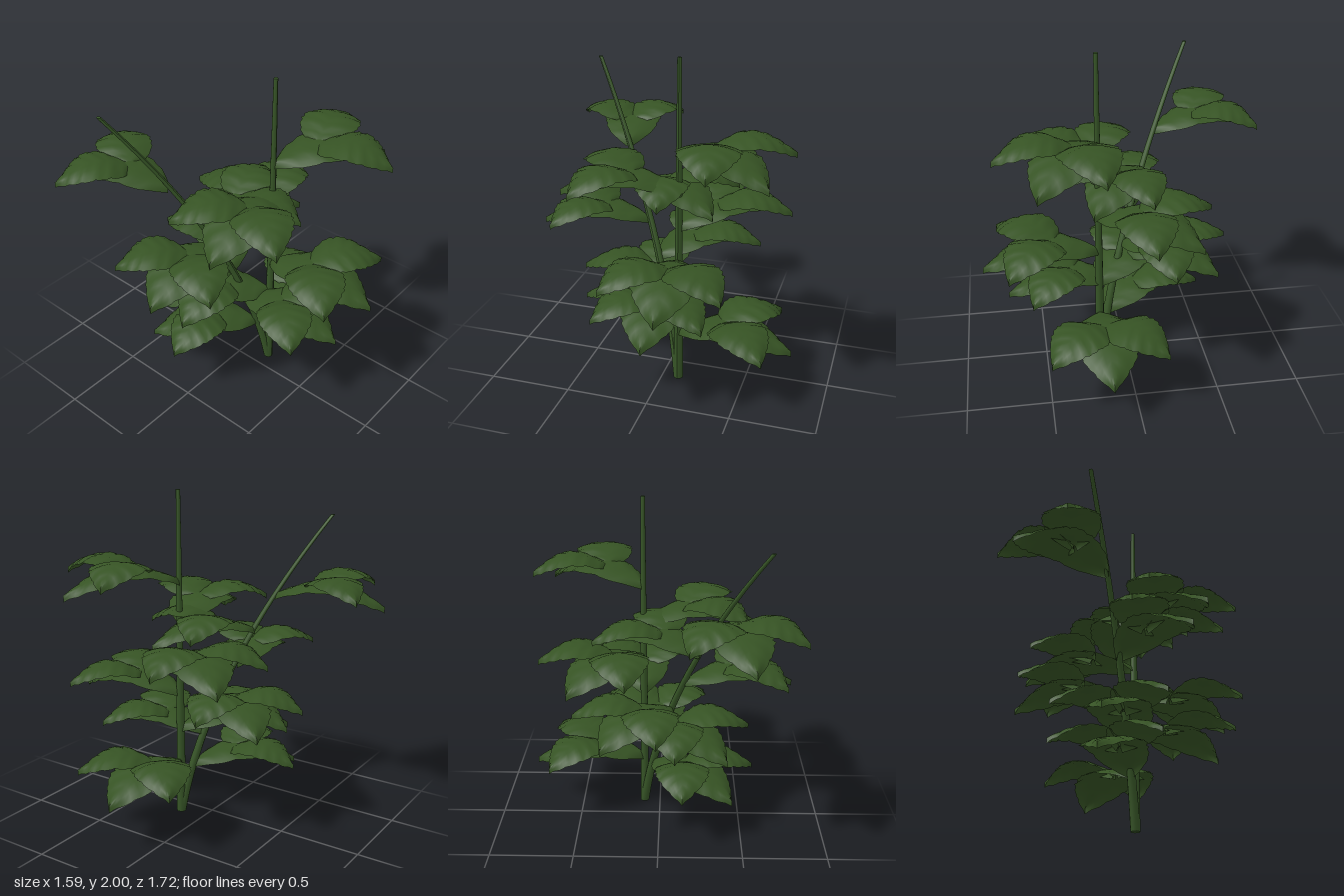
import * as THREE from 'three';

const leafGreen = new THREE.MeshStandardMaterial({ color: 0x365324, side: THREE.DoubleSide });
leafGreen.name = 'leafGreen';
const stemGreen = new THREE.MeshStandardMaterial({ color: 0x365426 });
stemGreen.name = 'stemGreen';

// Centre line of each stem at height y
const uprightPath = () => [0.1, 0.165];
const leaningPath = (y) => [0.1 - 0.135 * y - 0.135 * y * y, 0.165 - 0.133 * y - 0.117 * y * y];

// Leaflet kinds: length, half widths along the length, midrib height, and droop of the edges
const middleLeaflet = {
  length: 0.69,
  widths: [0.015, 0.1, 0.148, 0.17, 0.183, 0.19, 0.178, 0.14, 0.08, 0],
  rise: (u) => 0.11 * Math.sin(Math.PI * u) - 0.04 * u,
  droop: 0.04,
};
const sideLeaflet = {
  length: 0.458,
  widths: [0.02, 0.11, 0.15, 0.168, 0.172, 0.165, 0.146, 0.108, 0.06, 0],
  rise: (u) => 0.075 + 0.085 * Math.sin(Math.PI * u) - 0.02 * u,
  droop: 0.035,
};

const VEINS = 6; // pairs of side veins, pressed in as creases
const STEPS = 4; // rows between neighbouring veins

function halfWidth(kind, u) {
  const s = u * (kind.widths.length - 1);
  const i = Math.min(Math.floor(s), kind.widths.length - 2);
  return THREE.MathUtils.lerp(kind.widths[i], kind.widths[i + 1], s - i);
}

// Blade: rows slant forward along the veins and puff up between them
function bladeGeometry(kind) {
  const rowCount = VEINS * STEPS;
  const positions = [];
  const index = [];
  for (let i = 0; i <= rowCount; i++) {
    const base = i / rowCount;
    const puff = 0.007 * Math.sin((Math.PI * (i % STEPS)) / STEPS);
    const tooth = i % 2 ? 1.025 : 0.965;
    for (let j = -4; j <= 4; j++) {
      const v = j / 4;
      const a = Math.abs(v);
      const u = base + 0.5 * a * base * (1 - base);
      const w = halfWidth(kind, u) * v * (a === 1 ? tooth : 1);
      const y = kind.rise(u) - kind.droop * v * v + puff * Math.sin(Math.PI * Math.min(a, 0.6) / 1.2);
      positions.push(kind.length * u, y, w);
    }
  }
  for (let i = 0; i < rowCount; i++) {
    for (let j = 0; j < 8; j++) {
      const a = i * 9 + j, b = a + 1, c = a + 9, d = c + 1;
      // mirror the diagonals about the midrib
      if (j < 4) index.push(a, b, c, b, d, c);
      else index.push(a, b, d, a, d, c);
    }
  }
  const geometry = new THREE.BufferGeometry();
  geometry.setAttribute('position', new THREE.Float32BufferAttribute(positions, 3));
  geometry.setIndex(index);
  geometry.computeVertexNormals();
  return geometry;
}

// Tapered stem sheared along its path
function makeStem(name, path, height) {
  const geometry = new THREE.CylinderGeometry(0.0125, 0.029, height, 10, 16);
  geometry.translate(0, height / 2, 0);
  const p = geometry.attributes.position;
  for (let i = 0; i < p.count; i++) {
    const [x, z] = path(p.getY(i));
    p.setXYZ(i, p.getX(i) + x, p.getY(i), p.getZ(i) + z);
  }
  geometry.computeVertexNormals();
  const stem = new THREE.Mesh(geometry, stemGreen);
  stem.name = name;
  return stem;
}

export function createModel() {
  const model = new THREE.Group();
  model.name = 'leafyPlant';
  const middleBlade = bladeGeometry(middleLeaflet);
  const sideBlade = bladeGeometry(sideLeaflet);

  const stems = [
    { name: 'uprightStem', path: uprightPath, height: 2, first: 0.345, step: 0.228, yaw: 0, size: 1 },
    { name: 'leaningStem', path: leaningPath, height: 1.83, first: 0.33, step: 0.208, yaw: 223, size: 0.95 },
  ];
  for (const s of stems) {
    model.add(makeStem(s.name, s.path, s.height));
    // Six three-part leaves spiralling up by the golden angle
    for (let i = 0; i < 6; i++) {
      const y = s.first + i * s.step;
      const [x, z] = s.path(y);
      const leaf = new THREE.Group();
      leaf.name = 'leaf';
      const middle = new THREE.Mesh(middleBlade, leafGreen);
      middle.name = 'middleLeaflet';
      leaf.add(middle);
      for (const d of [-1, 1]) {
        const leaflet = new THREE.Mesh(sideBlade, leafGreen);
        leaflet.name = 'sideLeaflet';
        leaflet.position.x = 0.26;
        leaflet.rotation.y = THREE.MathUtils.degToRad(47 * d);
        leaf.add(leaflet);
      }
      leaf.position.set(x, y, z);
      leaf.rotation.y = -THREE.MathUtils.degToRad(s.yaw - 137.5 * i);
      leaf.scale.setScalar(s.size);
      model.add(leaf);
    }
  }
  return model;
}
